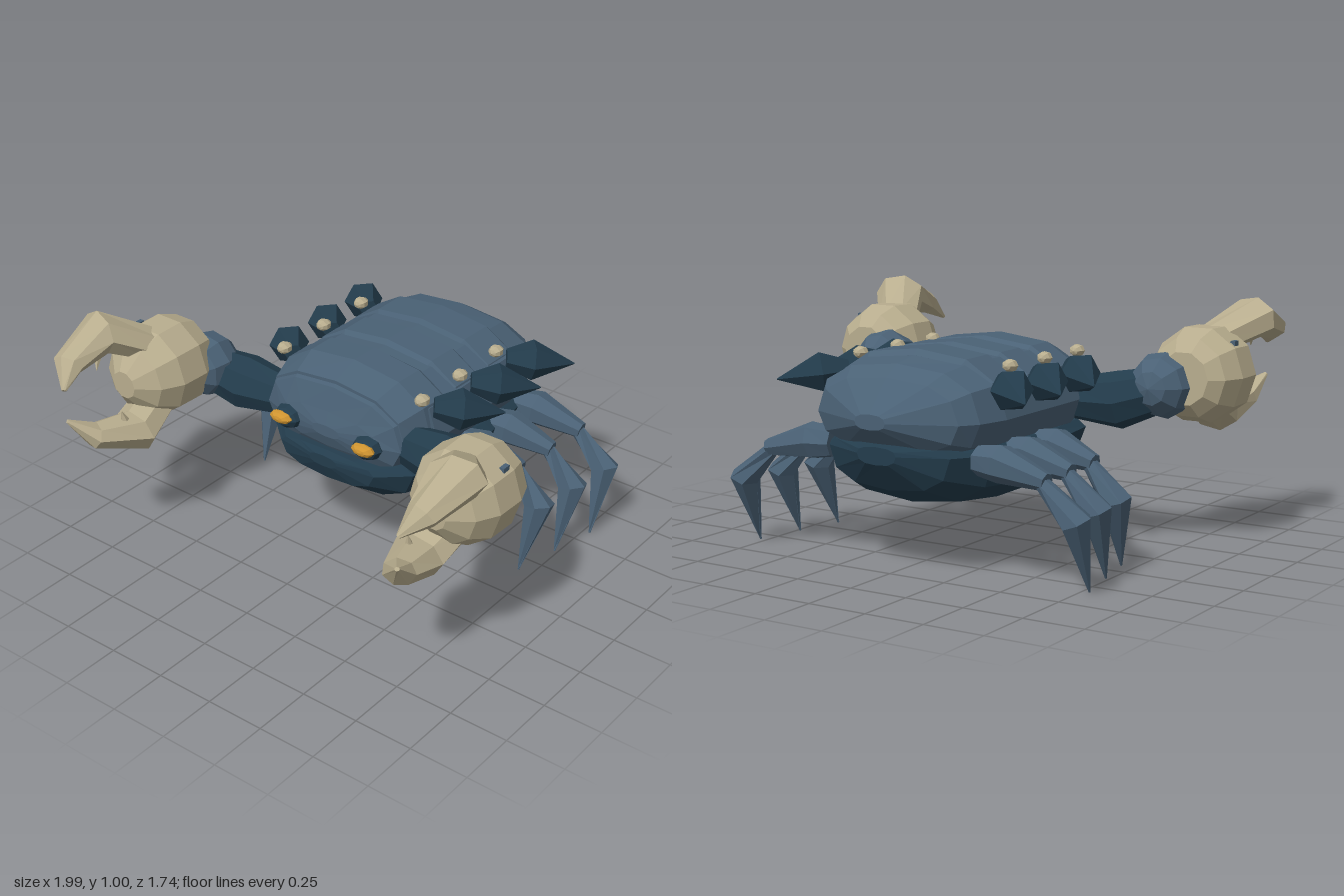
import * as THREE from 'three';

const V = (x, y, z) => new THREE.Vector3(x, y, z);
const paint = (name, color) => {
  const m = new THREE.MeshStandardMaterial({ color });
  m.name = name;
  return m;
};

// Faceted normals for any geometry
function facet(geo) {
  const g = geo.index ? geo.toNonIndexed() : geo;
  g.computeVertexNormals();
  return g;
}

// Skin a row of equal rings and close both ends
function skin(rings) {
  const pos = [];
  const tri = (...pts) => pts.forEach((p) => pos.push(p.x, p.y, p.z));
  const n = rings[0].length;
  const middle = (r) => r.reduce((s, p) => s.add(p), V(0, 0, 0)).divideScalar(n);
  const first = rings[0], last = rings[rings.length - 1];
  const m0 = middle(first), m1 = middle(last);
  for (let j = 0; j < n; j++) {
    const k = (j + 1) % n;
    for (let i = 0; i + 1 < rings.length; i++) {
      const a = rings[i], b = rings[i + 1];
      tri(a[j], a[k], b[k]);
      tri(a[j], b[k], b[j]);
    }
    tri(m0, first[k], first[j]);
    tri(m1, last[j], last[k]);
  }
  const g = new THREE.BufferGeometry();
  g.setAttribute('position', new THREE.Float32BufferAttribute(pos, 3));
  return facet(g);
}

// Body hull from front to back: [z, half width, height above, height below]
function hull(sections, cy) {
  const soft = (v) => Math.sign(v) * Math.abs(v) ** 0.8;
  return skin(sections.map(([z, w, up, down]) => Array.from({ length: 12 }, (_, j) => {
    const a = (j / 12) * Math.PI * 2, c = soft(Math.cos(a));
    return V(w * soft(Math.sin(a)), cy + c * (c > 0 ? up : down), z);
  })));
}

// Tapered limb along points, with one radius per point and an optional sideways widening
function limb(points, radii, sides = 6, widen = 1) {
  return skin(points.map((p, i) => {
    const t = points[Math.min(i + 1, points.length - 1)].clone()
      .sub(points[Math.max(i - 1, 0)]).normalize();
    const u = V(0, 1, 0).cross(t).normalize();
    const v = t.clone().cross(u);
    return Array.from({ length: sides }, (_, j) => {
      const a = (j / sides) * Math.PI * 2;
      return p.clone().addScaledVector(u, widen * radii[i] * Math.cos(a))
        .addScaledVector(v, radii[i] * Math.sin(a));
    });
  }));
}

// Faceted ellipsoid with its poles along z
function ball(rx, ry, rz, seg = 10, rows = 7) {
  return facet(new THREE.SphereGeometry(1, seg, rows).rotateX(Math.PI / 2).scale(rx, ry, rz));
}

export function createModel() {
  const model = new THREE.Group();
  model.name = 'crab';
  const blue = paint('slate blue', 0x4a6175);
  const dark = paint('deep blue', 0x233c4c);
  const bone = paint('bone', 0xb8ad8e);
  const amber = paint('amber', 0xcf9430);

  const add = (parent, name, geo, mat, x = 0, y = 0, z = 0) => {
    const m = new THREE.Mesh(geo, mat);
    m.name = name;
    m.position.set(x, y, z);
    parent.add(m);
  };

  // Smooth back shell
  add(model, 'shell', hull([
    [0.24, 0.07, 0.025, 0.025], [0.22, 0.25, 0.08, 0.08], [0.19, 0.34, 0.18, 0.13],
    [0.02, 0.395, 0.225, 0.17], [-0.55, 0.405, 0.225, 0.17], [-0.69, 0.375, 0.2, 0.16],
    [-0.76, 0.325, 0.155, 0.13], [-0.87, 0.07, 0.03, 0.03],
  ], 0.61), blue);

  // Raised bands across the shell: front foot, front edge, back edge, back foot
  for (const [a, b, c, d] of [[0.17, 0.05, -0.08, -0.11], [-0.13, -0.17, -0.31, -0.335],
    [-0.37, -0.4, -0.555, -0.58]]) {
    add(model, 'shellBand', hull([[a, 0.35, 0.2, 0.05], [b, 0.388, 0.245, 0.05],
      [c, 0.392, 0.243, 0.05], [d, 0.38, 0.22, 0.05]], 0.61), blue);
  }

  // Belly
  add(model, 'belly', hull([
    [0.26, 0.07, 0.025, 0.025], [0.235, 0.24, 0.04, 0.09], [0.13, 0.36, 0.05, 0.165],
    [-0.15, 0.41, 0.05, 0.243], [-0.35, 0.41, 0.05, 0.245], [-0.6, 0.38, 0.05, 0.22],
    [-0.75, 0.28, 0.05, 0.15], [-0.83, 0.09, 0.03, 0.04],
  ], 0.48), dark);

  for (const s of [1, -1]) {
    const side = new THREE.Group();
    side.name = s > 0 ? 'leftSide' : 'rightSide';
    model.add(side);

    // Eyes
    add(side, 'eyeSocket', ball(0.068, 0.052, 0.06, 8, 6), dark, s * 0.202, 0.603, 0.22);
    add(side, 'eye', ball(0.055, 0.027, 0.03, 8, 6), amber, s * 0.21, 0.613, 0.266);

    for (let i = 0; i < 3; i++) {
      // Knobs and side spikes
      add(side, 'knob', ball(0.032, 0.026, 0.034, 7, 5), bone, s * 0.352, 0.8, 0.068 - 0.256 * i);
      const z = -0.255 * i;
      add(side, 'spike', limb([V(s * 0.36, 0.74, z), V(s * 0.445, 0.73, z - 0.07),
        V(s * 0.575, 0.705, z - 0.19)], [0.04, 0.085, 0.003]), dark);

      // Walking legs
      const zl = -0.25 - 0.205 * i, out = 0.03 * i;
      add(side, 'legThigh', limb([V(s * 0.34, 0.465, zl + 0.02), V(s * 0.44, 0.465, zl + 0.01),
        V(s * (0.62 + out / 2), 0.42, zl - 0.01)], [0.06, 0.076, 0.035], 7), blue);
      add(side, 'legShin', limb([V(s * (0.595 + out / 2), 0.42, zl - 0.01),
        V(s * (0.715 + out), 0.285, zl - 0.01), V(s * (0.69 + 1.5 * out), 0.005, zl + 0.085)],
      [0.028, 0.064, 0.004]), blue);
    }

    // Arm and elbow
    add(side, 'upperArm', limb([V(s * 0.32, 0.6, 0.1), V(s * 0.52, 0.605, 0.12),
      V(s * 0.63, 0.64, 0.16)], [0.085, 0.118, 0.1], 8), dark);
    add(side, 'elbow', ball(0.138, 0.138, 0.138, 9, 6), blue, s * 0.68, 0.67, 0.19);

    // Pincer
    const claw = new THREE.Group();
    claw.name = 'pincer';
    side.add(claw);
    const palm = [[0.165, 0.11], [0.21, 0.165], [0.3, 0.2], [0.43, 0.197], [0.52, 0.15], [0.585, 0.06]];
    add(claw, 'palm', limb(palm.map(([z]) => V(s * 0.778, 0.705, z)), palm.map((p) => p[1]), 10), bone);
    add(claw, 'upperFinger', limb([V(s * 0.765, 0.82, 0.4), V(s * 0.888, 0.918, 0.59),
      V(s * 0.877, 0.855, 0.785), V(s * 0.83, 0.785, 0.862)],
    [0.065, 0.085, 0.05, 0.008], 7, 1.35), bone);
    add(claw, 'lowerFinger', limb([V(s * 0.76, 0.59, 0.4), V(s * 0.725, 0.515, 0.59),
      V(s * 0.772, 0.56, 0.775), V(s * 0.828, 0.645, 0.862)],
    [0.07, 0.085, 0.052, 0.008], 7, 1.3), bone);
    add(claw, 'upperTooth', limb([V(s * 0.86, 0.87, 0.63), V(s * 0.84, 0.79, 0.67)],
      [0.025, 0.002], 5), bone);
    add(claw, 'lowerTooth', limb([V(s * 0.72, 0.56, 0.64), V(s * 0.725, 0.635, 0.66)],
      [0.028, 0.002], 5), bone);
    add(claw, 'palmStud', new THREE.BoxGeometry(0.02, 0.022, 0.036), blue, s * 0.92, 0.838, 0.335);
  }
  return model;
}
